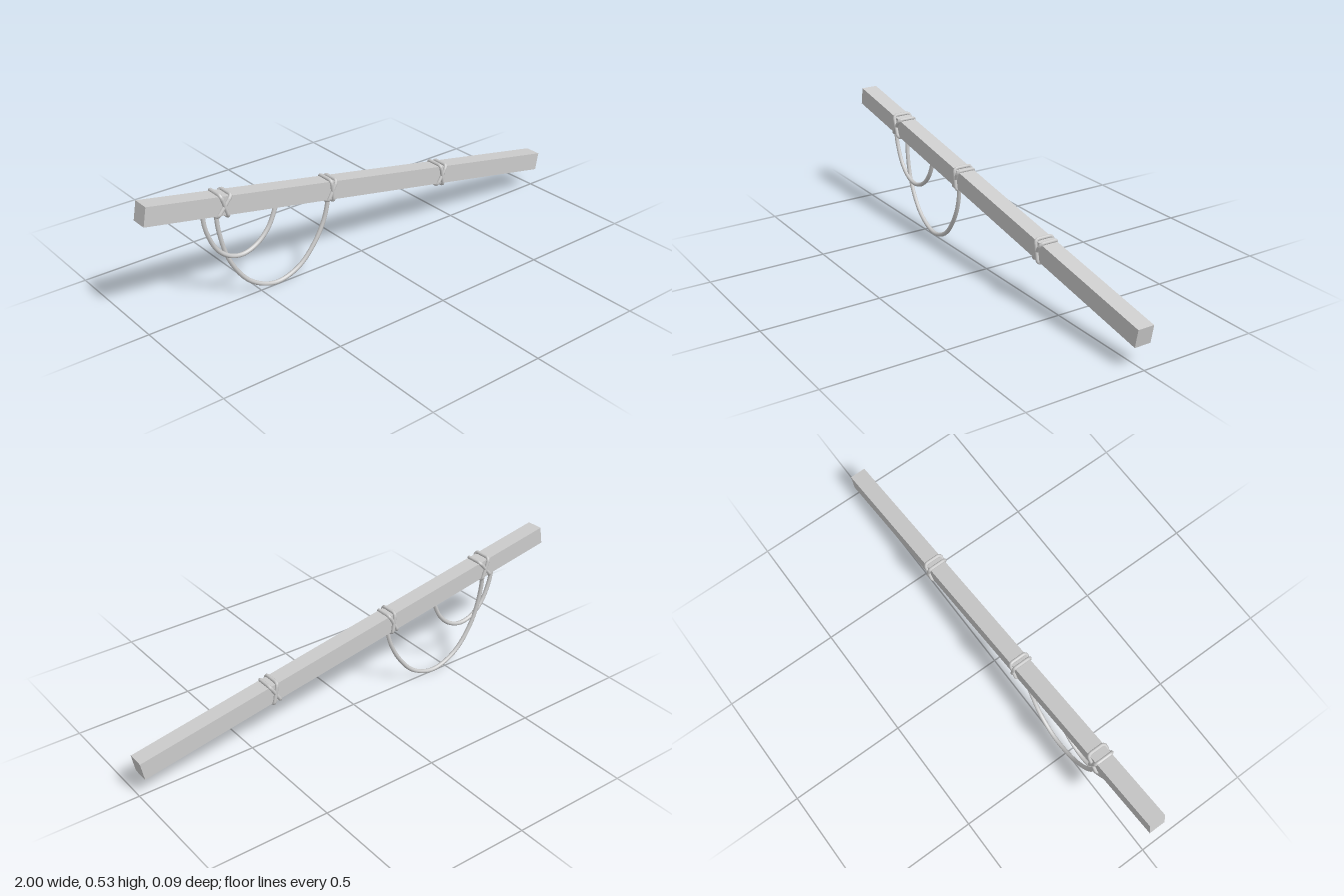
import * as THREE from 'three';

const material = new THREE.MeshStandardMaterial({ color: 0xcccccc });
const TILT = -0.183; // slope of the beam

function add(parent, name, geometry) {
  const mesh = new THREE.Mesh(geometry, material);
  mesh.name = name;
  parent.add(mesh);
  return mesh;
}

// One band around the beam: a rounded rectangle that leans along the beam
function bandGeometry(lean, halfH, halfZ) {
  const r = 0.013, points = [];
  const corners = [[1, 1], [-1, 1], [-1, -1], [1, -1]];
  corners.forEach(([sz, sy], i) => {
    for (let k = 0; k <= 3; k++) {
      const a = (i + k / 3) * Math.PI / 2;
      const z = sz * (halfZ - r) + r * Math.cos(a);
      const y = sy * (halfH - r) + r * Math.sin(a);
      points.push(new THREE.Vector3(lean * y / halfH, y, z));
    }
  });
  const path = new THREE.CatmullRomCurve3(points, true, 'catmullrom', 0);
  return new THREE.TubeGeometry(path, 72, 0.0075, 8, true);
}

// Hanging rope whose ends are hidden inside the beam
function ropeGeometry(points) {
  const path = new THREE.CatmullRomCurve3(points.map(p => new THREE.Vector3(...p)));
  return new THREE.TubeGeometry(path, 64, 0.009, 8, false);
}

export function createModel() {
  const model = new THREE.Group();

  // Sloping beam with its lashings
  const pole = new THREE.Group();
  pole.name = 'pole';
  pole.position.y = 0.314;
  pole.rotation.z = TILT;
  model.add(pole);
  add(pole, 'beam', new THREE.BoxGeometry(2.019, 0.0765, 0.07));

  // Crossed pairs of bands: position along the beam, lean
  [[-0.68, 0.024], [-0.178, 0.014], [0.412, 0.017]].forEach(([x, lean]) => {
    const lashing = new THREE.Group();
    lashing.name = 'lashing';
    lashing.position.x = x;
    add(lashing, 'bandA', bandGeometry(lean, 0.0425, 0.0385));
    add(lashing, 'bandB', bandGeometry(-lean, 0.0435, 0.0395));
    pole.add(lashing);
  });

  // Two slack ropes below the beam
  add(model, 'largeRopeLoop', ropeGeometry([
    [-0.675, 0.42, -0.02], [-0.668, 0.31, -0.015], [-0.63, 0.175, -0.01],
    [-0.545, 0.058, -0.006], [-0.43, 0.0095, -0.002], [-0.325, 0.042, 0.003],
    [-0.25, 0.122, 0.008], [-0.2, 0.22, 0.012], [-0.172, 0.36, 0.018],
  ]));
  add(model, 'smallRopeLoop', ropeGeometry([
    [-0.745, 0.43, 0], [-0.733, 0.345, 0], [-0.69, 0.25, 0], [-0.635, 0.203, 0],
    [-0.575, 0.19, 0], [-0.51, 0.213, 0], [-0.455, 0.268, 0], [-0.408, 0.375, 0],
  ]));
  return model;
}
